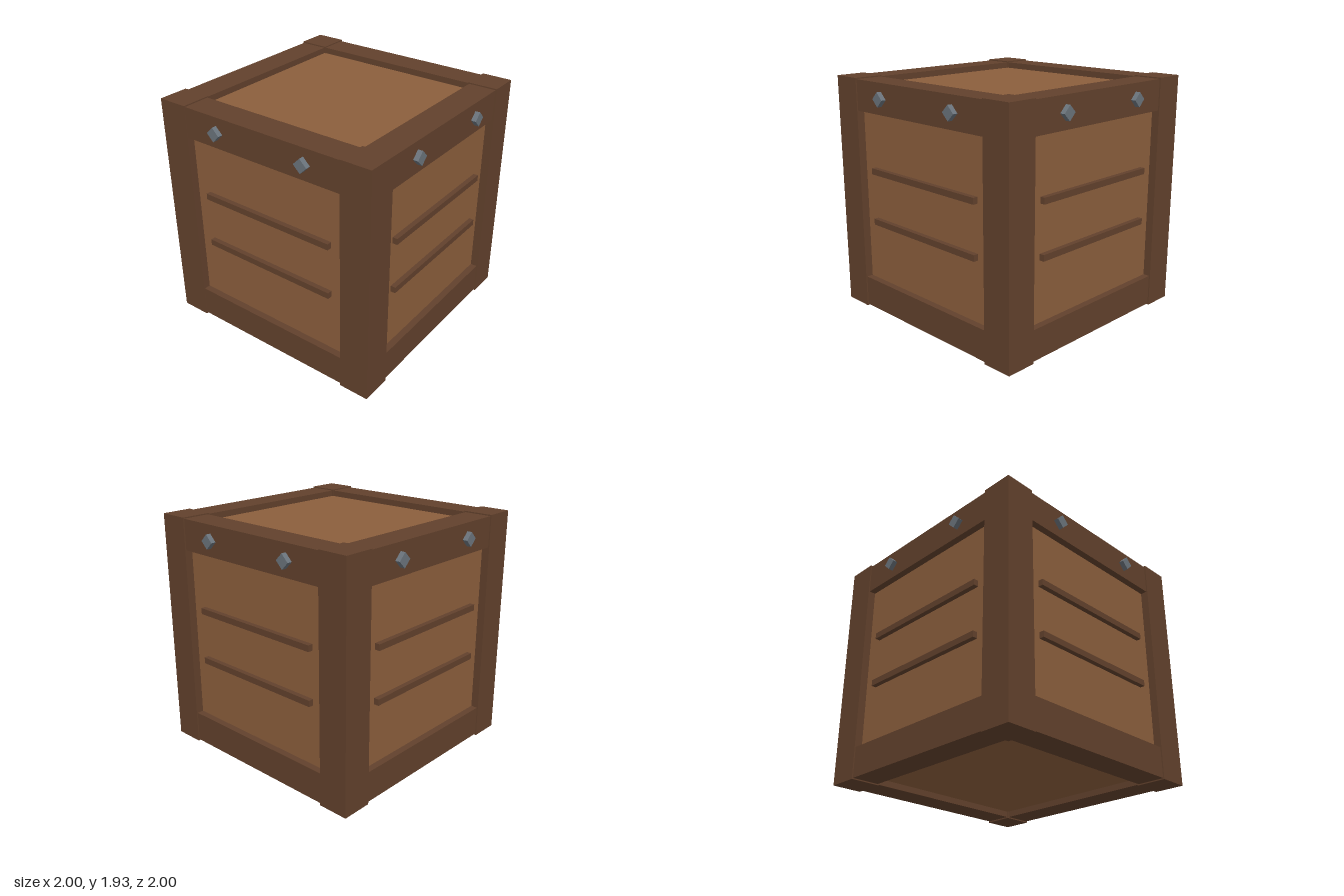
import * as THREE from 'three';

export function createModel() {
  const crate = new THREE.Group();
  crate.name = 'crate';

  const panelWood = new THREE.MeshStandardMaterial({ color: 0x8b5e3c });
  panelWood.name = 'panelWood';
  const frameWood = new THREE.MeshStandardMaterial({ color: 0x62412c });
  frameWood.name = 'frameWood';
  const boltSteel = new THREE.MeshStandardMaterial({ color: 0x6a737b, flatShading: true });
  boltSteel.name = 'boltSteel';

  const midY = 0.965;
  const add = (parent, name, geometry, material, x, y, z) => {
    const mesh = new THREE.Mesh(geometry, material);
    mesh.name = name;
    mesh.position.set(x, y, z);
    parent.add(mesh);
    return mesh;
  };

  // Inner box whose faces are the recessed panels
  add(crate, 'panelBox', new THREE.BoxGeometry(1.81, 1.81, 1.81), panelWood, 0, midY, 0);

  // Corner posts, slightly proud of the beams
  const postGeometry = new THREE.BoxGeometry(0.25, 1.93, 0.25);
  for (const x of [-0.845, 0.845]) {
    for (const z of [-0.845, 0.845]) add(crate, 'cornerPost', postGeometry, frameWood, x, midY, z);
  }

  const beamGeometry = new THREE.BoxGeometry(1.6, 0.25, 0.23);
  const slatGeometry = new THREE.BoxGeometry(1.19, 0.05, 0.06);
  // Four-sided bolt head pointing out along z, standing on its corner
  const boltGeometry = new THREE.CylinderGeometry(0.058, 0.058, 0.06, 4).rotateX(Math.PI / 2);

  // Four identical sides turned around the vertical axis
  ['frontSide', 'leftSide', 'backSide', 'rightSide'].forEach((name, i) => {
    const side = new THREE.Group();
    side.name = name;
    side.rotation.y = i * Math.PI / 2;
    add(side, 'topBeam', beamGeometry, frameWood, 0, 1.795, 0.845);
    add(side, 'bottomBeam', beamGeometry, frameWood, 0, 0.135, 0.845);
    for (const y of [0.772, 1.195]) add(side, 'slat', slatGeometry, frameWood, 0, y, 0.915);
    for (const x of [-0.407, 0.407]) add(side, 'bolt', boltGeometry, boltSteel, x, 1.795, 0.97);
    crate.add(side);
  });

  return crate;
}
